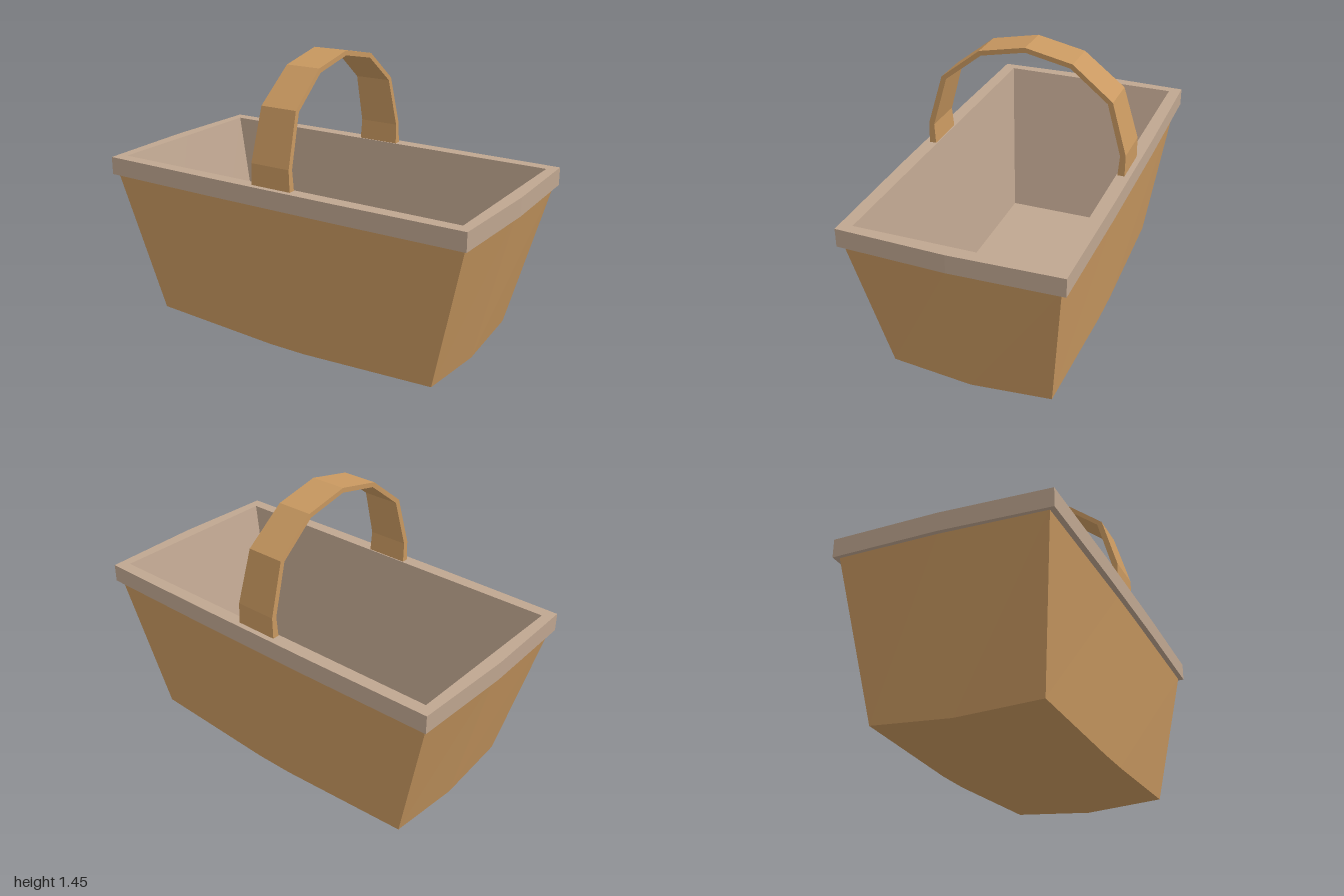
import * as THREE from 'three';

const wood = new THREE.MeshStandardMaterial({ color: 0xc89860 });
wood.name = 'warm wood';
const paleWood = new THREE.MeshStandardMaterial({ color: 0xbfa690 });
paleWood.name = 'pale wood';

// Faceted mesh from a list of quads, each given as four corners in order
function quadMesh(name, quads, material) {
  const positions = quads.flatMap(([a, b, c, d]) => [a, b, c, a, c, d].flat());
  const geometry = new THREE.BufferGeometry();
  geometry.setAttribute('position', new THREE.Float32BufferAttribute(positions, 3));
  geometry.computeVertexNormals();
  const mesh = new THREE.Mesh(geometry, material);
  mesh.name = name;
  return mesh;
}

// Quads joining successive closed rings of points
function loft(rings) {
  const quads = [];
  for (let r = 0; r < rings.length - 1; r++) {
    const a = rings[r], b = rings[r + 1];
    a.forEach((p, i) => {
      const j = (i + 1) % a.length;
      quads.push([p, a[j], b[j], b[i]]);
    });
  }
  return quads;
}

// Ten-point box outline: corners (x, z), middles pushed out to (midX, midZ).
// m is the half-width of the flat middle panel, rise lifts corners above middles.
function outline(x, z, y, midX = x, midZ = z, m = 0.12, rise = 0) {
  const half = [
    [-x, y + rise, z], [-m, y, midZ], [m, y, midZ], [x, y + rise, z], [midX, y, 0],
  ];
  return [...half, ...half.map(([px, py, pz]) => [-px, py, -pz])];
}

export function createModel() {
  const group = new THREE.Group();
  group.name = 'basket';

  // Tapered outer walls
  const foot = outline(0.785, 0.4, 0.028, 0.797, 0.41, 0.1, 0.027);
  const shoulder = outline(0.968, 0.5, 0.8, 0.98, 0.507, 0.12);
  group.add(quadMesh('walls', loft([foot, shoulder]), wood));

  // Gently bowed underside: a 3 x 2 grid of panels, lowest in the middle
  const [f0, f1, f2, f3, f4, b0, b1, b2, b3, b4] = foot;
  const rows = [[b3, b2, b1, b0], [b4, [-0.1, 0, 0], [0.1, 0, 0], f4], [f0, f1, f2, f3]];
  const panels = [];
  for (let r = 0; r < 2; r++) {
    for (let c = 0; c < 3; c++) {
      panels.push([rows[r][c], rows[r][c + 1], rows[r + 1][c + 1], rows[r + 1][c]]);
    }
  }
  group.add(quadMesh('underside', panels, wood));

  // Rim band: underside, outer face and top
  const inner = outline(0.935, 0.465, 0.88, 0.935, 0.465, 0.34);
  group.add(quadMesh('rim', loft([
    outline(0.94, 0.48, 0.79, 0.94, 0.48, 0.34),
    outline(0.983, 0.525, 0.79, 1, 0.532, 0.34),
    outline(0.983, 0.525, 0.88, 1, 0.532, 0.34),
    inner,
  ]), paleWood));

  // Inner walls and flat floor
  const floorY = 0.08;
  const lining = loft([inner, outline(0.75, 0.39, floorY, 0.75, 0.39, 0.34)]);
  lining.push([[-0.75, floorY, 0.39], [0.75, floorY, 0.39], [0.75, floorY, -0.39], [-0.75, floorY, -0.39]]);
  group.add(quadMesh('lining', lining, paleWood));

  // Hoop handle: half profile as [outer z, outer y, inner z, inner y, half-width]
  const profile = [
    [0.505, 0.87, 0.47, 0.87, 0.108],
    [0.505, 0.985, 0.478, 0.98, 0.104],
    [0.43, 1.24, 0.406, 1.23, 0.095],
    [0.232, 1.397, 0.222, 1.375, 0.09],
    [0, 1.445, 0, 1.421, 0.09],
  ];
  const mirrored = profile.slice(0, -1).reverse().map(([oz, oy, iz, iy, w]) => [-oz, oy, -iz, iy, w]);
  const cx = -0.01;
  const sections = [...profile, ...mirrored].map(([oz, oy, iz, iy, w]) => [
    [cx - w, oy, oz], [cx + w, oy, oz], [cx + w, iy, iz], [cx - w, iy, iz],
  ]);
  group.add(quadMesh('handle', loft(sections), wood));

  return group;
}
